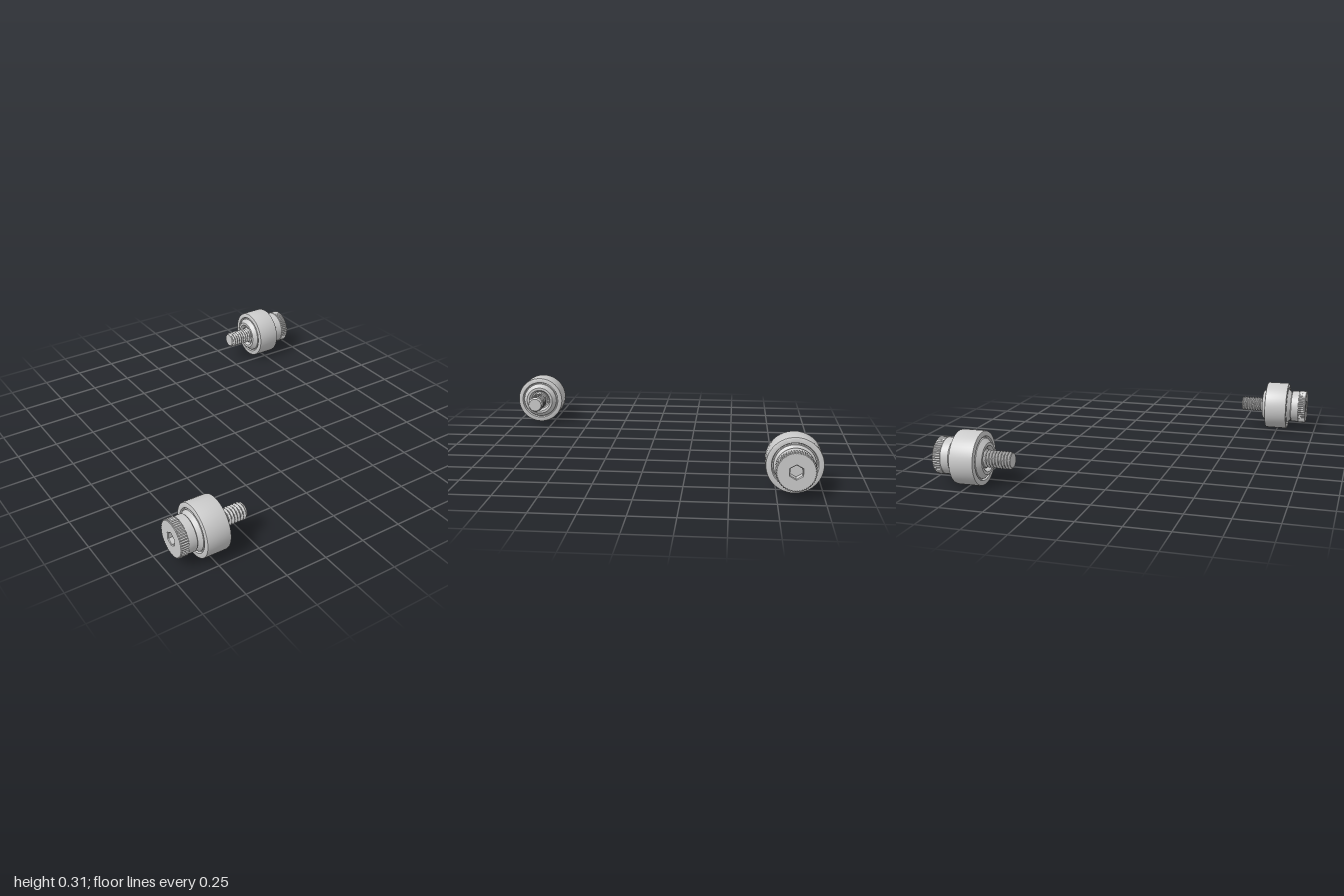
import * as THREE from 'three';
import { toCreasedNormals } from 'three/addons/utils/BufferGeometryUtils.js';

const material = new THREE.MeshStandardMaterial({ color: 0xcccccc });

function mesh(name, geometry, crease = 0.5) {
  const m = new THREE.Mesh(toCreasedNormals(geometry, crease), material);
  m.name = name;
  return m;
}

// Turned part: [radius, distance along the axis], from the inner end outwards
function turned(name, points) {
  return mesh(name, new THREE.LatheGeometry(points.map(([r, t]) => new THREE.Vector2(r, t)), 48));
}

// Screw thread: a cylinder whose radius follows a helical triangle wave
function threadedShaft(start, end, pitch) {
  const rows = 80, profile = [];
  for (let i = 0; i <= rows; i++) profile.push(new THREE.Vector2(0.05, start + (end - start) * i / rows));
  const geometry = new THREE.LatheGeometry(profile, 30);
  const p = geometry.attributes.position;
  for (let i = 0; i < p.count; i++) {
    const angle = Math.atan2(p.getX(i), p.getZ(i)), t = p.getY(i);
    const phase = t / pitch - angle / (2 * Math.PI);
    const wave = Math.abs((phase - Math.floor(phase)) * 2 - 1);
    const r = Math.min(0.038 + 0.013 * wave, 0.041 + (t - start));
    p.setXYZ(i, r * Math.sin(angle), t, r * Math.cos(angle));
  }
  return mesh('threadedShaft', geometry, 0.4);
}

// Knurled disc with a hexagonal socket
function knurledHead(start, depth) {
  const ring = (count, radius) => Array.from({ length: count }, (_, i) => {
    const a = i / count * 2 * Math.PI;
    return new THREE.Vector2(radius(i) * Math.cos(a), radius(i) * Math.sin(a));
  });
  const shape = new THREE.Shape(ring(96, i => (i % 2 ? 0.099 : 0.103)));
  shape.holes.push(new THREE.Path(ring(6, () => 0.042).reverse()));
  const bevel = 0.004;
  const geometry = new THREE.ExtrudeGeometry(shape, {
    depth: depth - 2 * bevel, bevelThickness: bevel, bevelSize: bevel, bevelSegments: 1,
  });
  geometry.rotateX(-Math.PI / 2).translate(0, start + bevel, 0);
  return mesh('knurledHead', geometry, 0.3);
}

// One roller screw along +y, head at the far end
function rollerScrew() {
  const screw = new THREE.Group();
  screw.name = 'rollerScrew';
  screw.add(
    // Wheel with softened rim and shallow recessed faces
    turned('roller', [
      [0.05, 0.685], [0.12, 0.685], [0.125, 0.67], [0.147, 0.67], [0.153, 0.673], [0.155, 0.681],
      [0.155, 0.805], [0.153, 0.813], [0.147, 0.816], [0.125, 0.816], [0.12, 0.802], [0.05, 0.802],
    ]),
    // Tapered bushing, dished around the shaft
    turned('bushing', [
      [0.03, 0.672], [0.062, 0.672], [0.066, 0.655], [0.074, 0.646], [0.09, 0.646], [0.114, 0.671],
      [0.114, 0.815], [0.09, 0.84], [0.03, 0.84],
    ]),
    turned('washer', [[0.03, 0.66], [0.055, 0.66], [0.055, 0.675], [0.03, 0.675]]),
    // Shaft with a flat tip
    threadedShaft(0.5, 0.675, 0.018),
    turned('shaftTip', [[0, 0.5], [0.041, 0.5], [0.041, 0.502]]),
    // Head
    turned('headCollar', [[0.03, 0.84], [0.1, 0.84], [0.104, 0.844], [0.104, 0.891], [0, 0.891]]),
    knurledHead(0.889, 0.051),
  );
  screw.rotation.z = -Math.PI / 2;
  return screw;
}

export function createModel() {
  const model = new THREE.Group();
  // Two screws at opposite corners, threads pointing inwards
  for (const [name, turn] of [['leftScrew', 0], ['rightScrew', Math.PI]]) {
    const holder = new THREE.Group();
    holder.name = name;
    holder.rotation.y = turn;
    const screw = rollerScrew();
    screw.position.set(0, 0.155, -0.845);
    holder.add(screw);
    model.add(holder);
  }
  return model;
}
